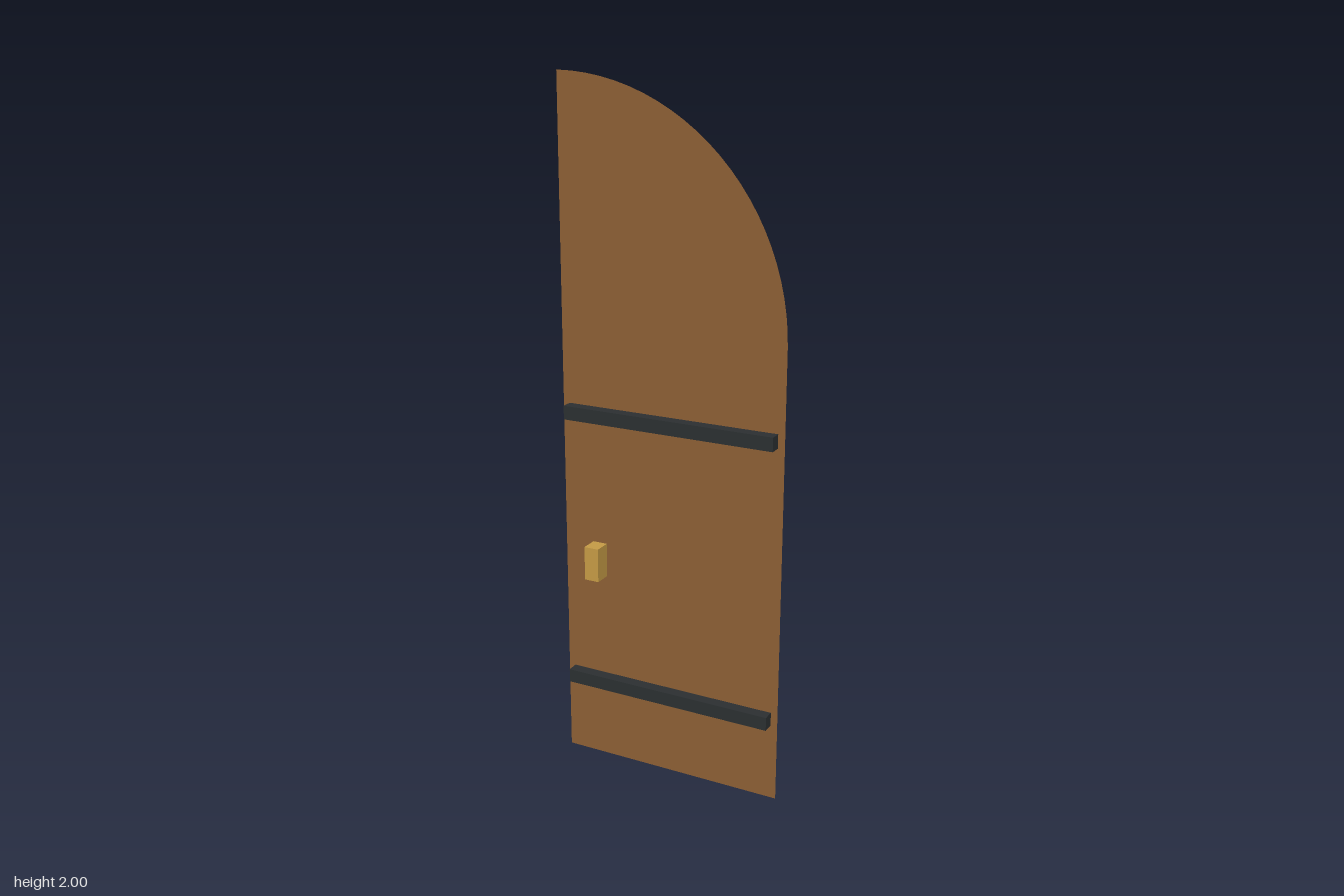
import * as THREE from 'three';

export function createModel() {
  const group = new THREE.Group();
  const wood = new THREE.MeshStandardMaterial({ color: 0x8b5e34, side: THREE.DoubleSide });
  const iron = new THREE.MeshStandardMaterial({ color: 0x2b2f31 });
  const brass = new THREE.MeshStandardMaterial({ color: 0xc49a45 });

  const half = 0.34;      // half the leaf width
  const springY = 1.32;   // height where the quarter arch begins
  const backZ = -0.034;

  function box(name, size, position, material) {
    const mesh = new THREE.Mesh(new THREE.BoxGeometry(...size), material);
    mesh.name = name;
    mesh.position.set(...position);
    group.add(mesh);
  }

  // Thin door leaf with a quarter-round top
  const outline = new THREE.Shape();
  outline.moveTo(-half, 0);
  outline.lineTo(half, 0);
  outline.lineTo(half, springY);
  outline.absarc(-half, springY, half * 2, 0, Math.PI / 2, false);
  outline.closePath();
  const leaf = new THREE.Mesh(new THREE.ShapeGeometry(outline, 12), wood);
  leaf.name = 'doorLeaf';
  leaf.position.z = backZ;
  group.add(leaf);

  // Iron straps, set just in front of the leaf
  box('lowerStrap', [0.64, 0.04, 0.034], [0, 0.25, -0.0165], iron);
  box('upperStrap', [0.64, 0.04, 0.034], [0, 1.07, -0.0165], iron);

  // Handle
  box('handle', [0.044, 0.1, 0.051], [-0.218, 0.64, 0.0085], brass);

  return group;
}
